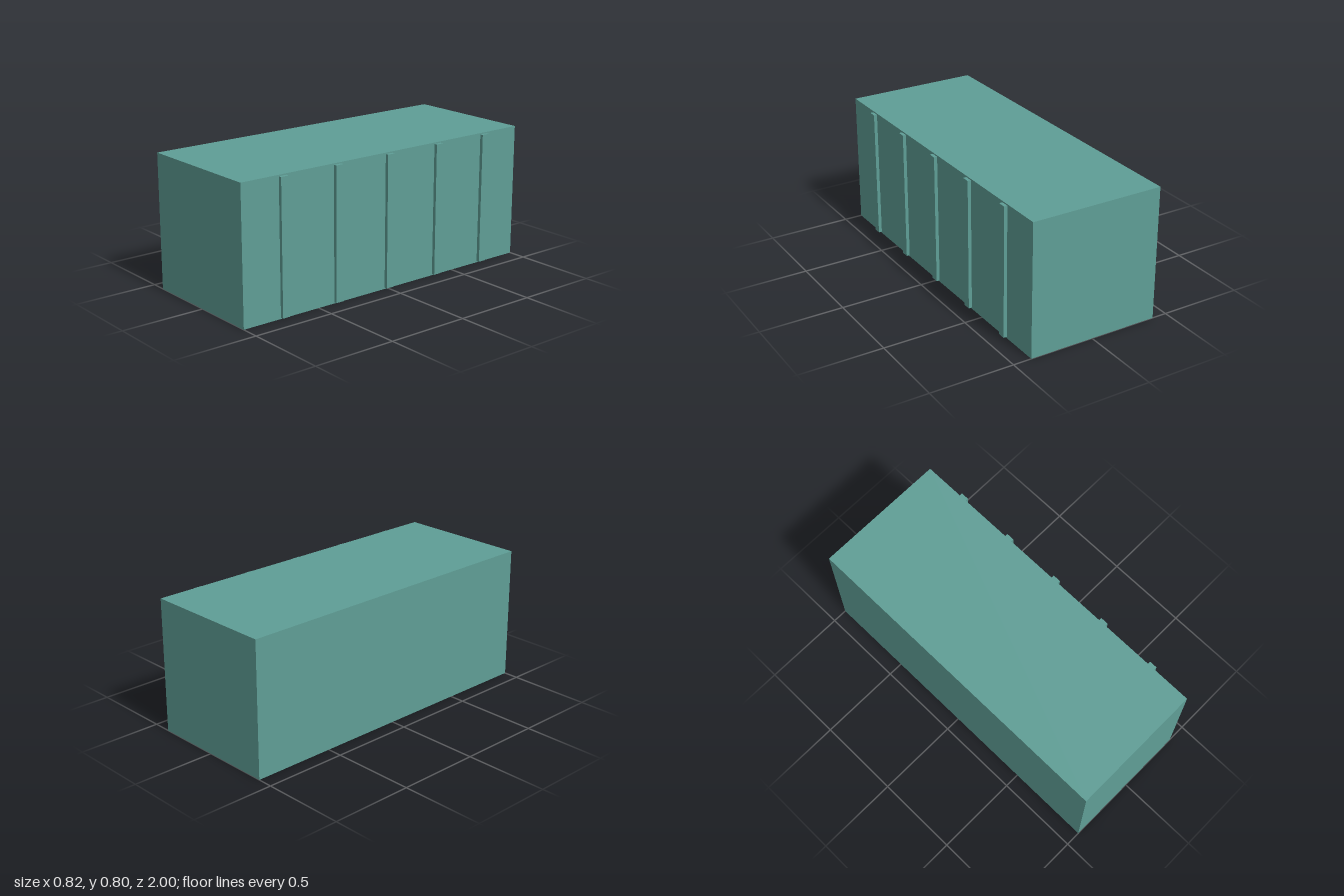
import * as THREE from 'three';

export function createModel() {
  const group = new THREE.Group();
  const teal = new THREE.MeshStandardMaterial({ color: 0x5f9e96 });
  teal.name = 'teal';

  const addBox = (name, size, position) => {
    const mesh = new THREE.Mesh(new THREE.BoxGeometry(...size), teal);
    mesh.name = name;
    mesh.position.set(...position);
    group.add(mesh);
  };

  // Long container body
  addBox('body', [0.8, 0.8, 2], [-0.01, 0.4, 0]);

  // Five evenly spaced upright ribs on the +x side
  for (let i = -2; i <= 2; i++) {
    addBox(`rib${i + 3}`, [0.02, 0.784, 0.048], [0.4, 0.4, i * 0.367]);
  }

  return group;
}
